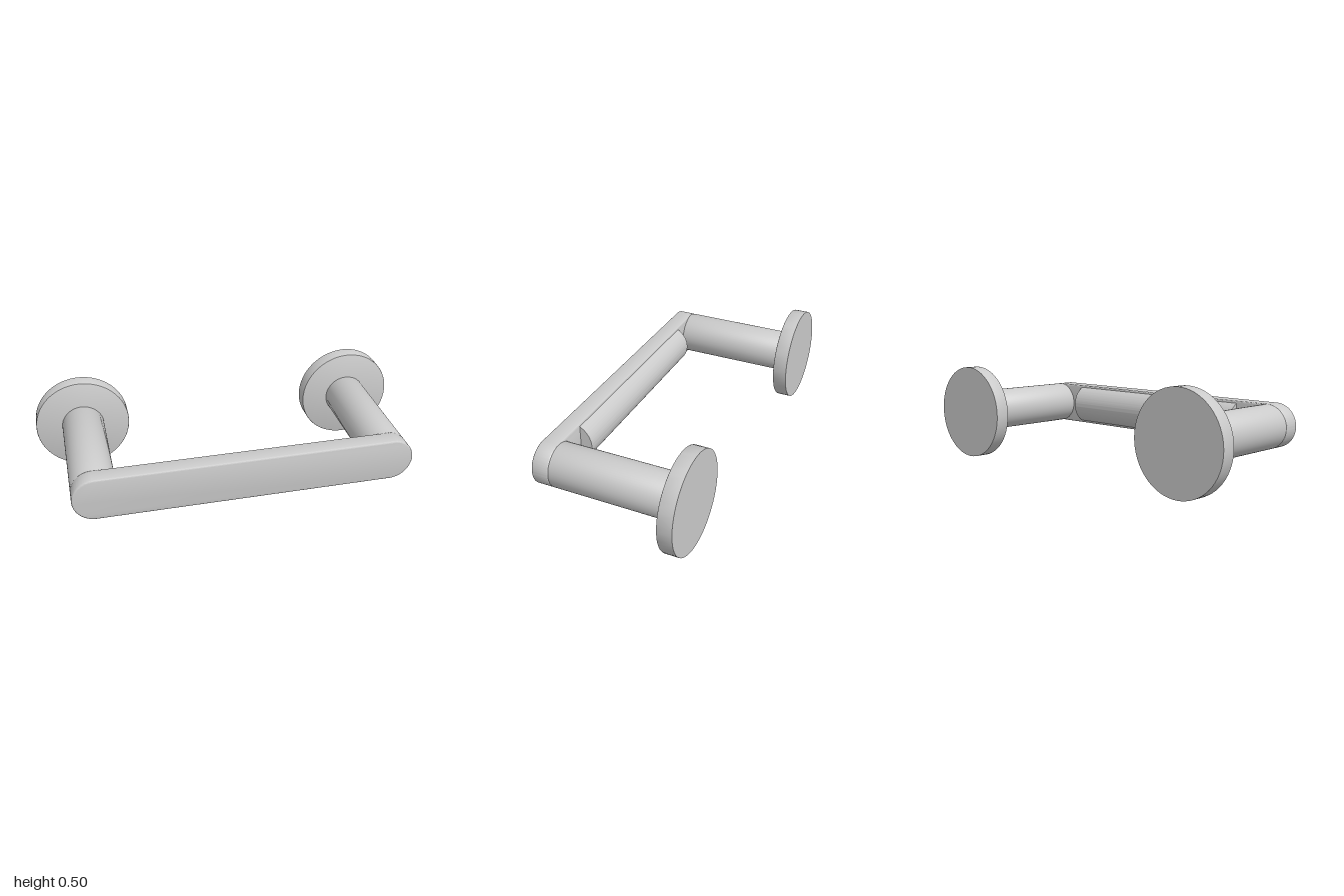
import * as THREE from 'three';
import { toCreasedNormals } from 'three/addons/utils/BufferGeometryUtils.js';

const Y = 0.25, X = 0.75, R = 0.112;
const material = new THREE.MeshStandardMaterial({ color: 0xcccccc });

function part(name, geometry, parent) {
  const mesh = new THREE.Mesh(toCreasedNormals(geometry, 0.6), material);
  mesh.name = name;
  parent.add(mesh);
  return mesh;
}

// Round solid along z with softened rims at either end
function roundBar(radius, z0, z1, back, front) {
  const points = [[0, z0], [radius - back, z0]];
  if (back) points.push([radius - back * 0.3, z0 + back * 0.3], [radius, z0 + back]);
  if (front) points.push([radius, z1 - front], [radius - front * 0.3, z1 - front * 0.3]);
  points.push([radius - front, z1], [0, z1]);
  return new THREE.LatheGeometry(points.map(p => new THREE.Vector2(...p)), 64).rotateX(Math.PI / 2);
}

export function createModel() {
  const model = new THREE.Group();
  model.name = 'pullHandle';

  // Wall discs and the posts standing on them
  for (const side of [-1, 1]) {
    const support = new THREE.Group();
    support.name = side > 0 ? 'leftSupport' : 'rightSupport';
    support.position.set(side * X, Y, 0);
    part('wallDisc', roundBar(0.25, -0.395, -0.319, 0, 0.005), support);
    part('post', roundBar(R, -0.325, 0.305, 0.012, 0.006), support);
    model.add(support);
  }

  // Flat grip with round ends and softened edges
  const bevel = 0.008, r = R - bevel;
  const outline = new THREE.Shape();
  outline.absarc(X, 0, r, -Math.PI / 2, Math.PI / 2);
  outline.absarc(-X, 0, r, Math.PI / 2, Math.PI * 1.5);
  outline.closePath();
  const grip = new THREE.ExtrudeGeometry(outline, {
    depth: 0.092 - 2 * bevel, bevelEnabled: true, bevelSize: bevel,
    bevelThickness: bevel, bevelSegments: 3, curveSegments: 32,
  });
  part('grip', grip, model).position.set(0, Y, 0.301 + bevel);

  // Rounded finger ridge along the back of the grip
  const centre = 0.352, cut = 0.305;
  const half = Math.acos((centre - cut) / R);
  const section = new THREE.Shape();
  section.absarc(centre, 0, R, Math.PI - half, Math.PI + half);
  section.closePath();
  const ridge = new THREE.ExtrudeGeometry(section, { depth: 1.13, bevelEnabled: false, curveSegments: 32 });
  ridge.translate(0, 0, -0.565).rotateY(-Math.PI / 2);
  part('fingerRidge', ridge, model).position.y = Y;

  return model;
}
